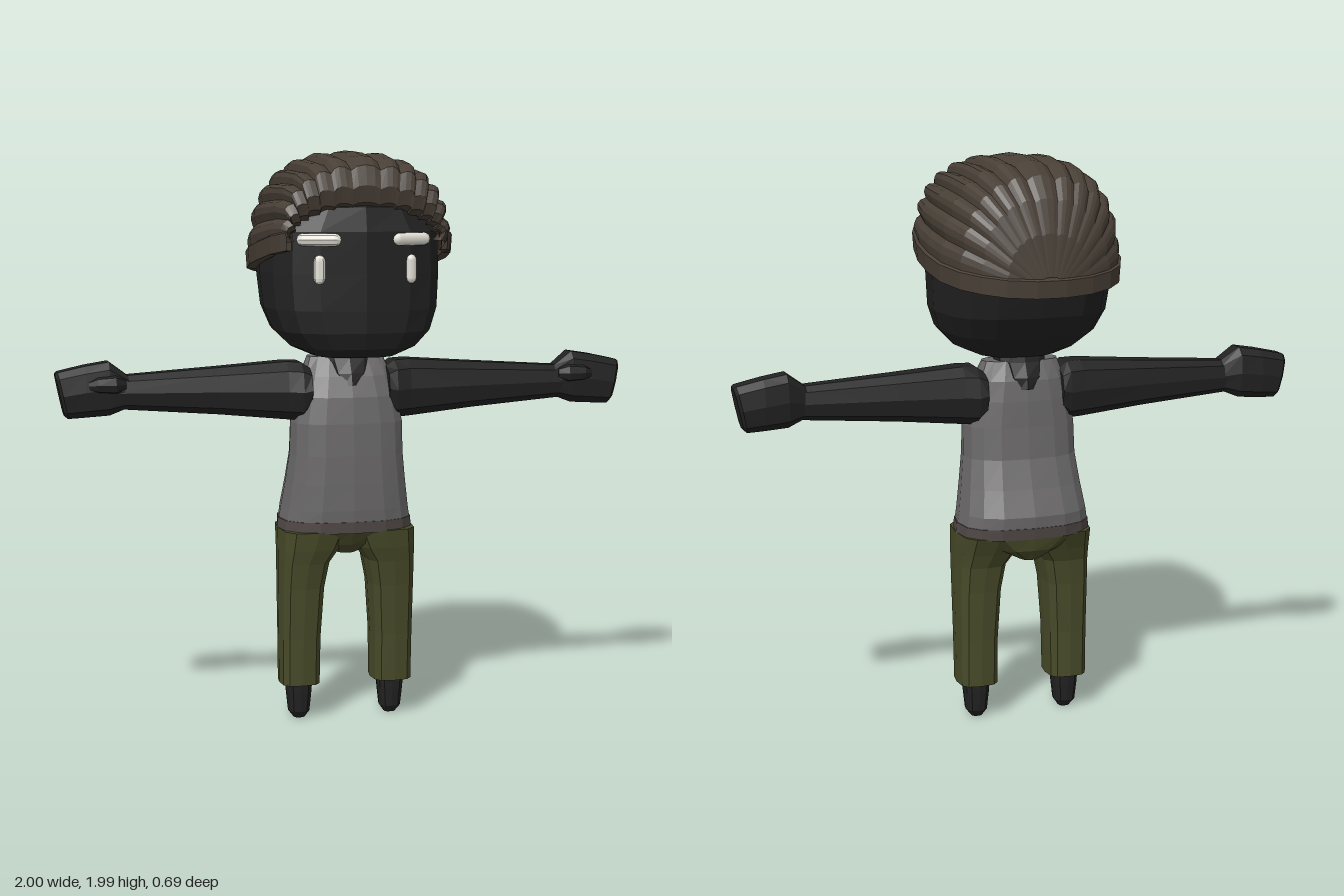
import * as THREE from 'three';

const mat = (name, color) => new THREE.MeshStandardMaterial({ name, color, side: THREE.DoubleSide });

// Faceted surface through rows of points; each row may be a closed ring
function grid(rows, closed) {
  const n = rows[0].length, pos = [];
  for (let i = 0; i < rows.length - 1; i++) {
    for (let j = 0; j < (closed ? n : n - 1); j++) {
      const k = (j + 1) % n;
      const [a, b, c, d] = [rows[i][j], rows[i + 1][j], rows[i + 1][k], rows[i][k]];
      pos.push(...a, ...b, ...d, ...b, ...c, ...d);
    }
  }
  const g = new THREE.BufferGeometry();
  g.setAttribute('position', new THREE.Float32BufferAttribute(pos, 3));
  g.computeVertexNormals();
  return g;
}

const spow = (v, e) => Math.sign(v) * Math.pow(Math.abs(v), e);

// Capped loft. Sections are [t, aMin, aMax, bMin, bMax]:
// along y, a is x and b is z; along x, a is z and b is y
function loft(sections, { n = 12, e = 0.75, axis = 'y' } = {}) {
  const put = (a, t, b) => (axis === 'y' ? [a, t, b] : [t, b, a]);
  const ring = ([t, a0, a1, b0, b1], size) => Array.from({ length: n }, (_, j) => {
    const q = (j / n) * Math.PI * 2;
    return put((a0 + a1) / 2 + size * (a1 - a0) / 2 * spow(Math.cos(q), e), t,
      (b0 + b1) / 2 + size * (b1 - b0) / 2 * spow(Math.sin(q), e));
  });
  const rows = sections.map((s) => ring(s, 1));
  return grid([ring(sections[0], 0), ...rows, ring(sections.at(-1), 0)], true);
}

// Copy of a geometry reflected in x, with its corner order restored
function mirror(geo) {
  const g = geo.clone(), p = g.attributes.position;
  for (let i = 0; i < p.count; i += 3) {
    const v = [0, 2, 1].map((k) => new THREE.Vector3().fromBufferAttribute(geo.attributes.position, i + k));
    v.forEach((w, k) => p.setXYZ(i + k, -w.x, w.y, w.z));
  }
  g.computeVertexNormals();
  return g;
}

export function createModel() {
  const model = new THREE.Group();
  model.name = 'figure';
  const skin = mat('darkSkin', 0x222222);
  const shirt = mat('greyShirt', 0x6a6868);
  const belt = mat('beltBrown', 0x514947);
  const olive = mat('oliveTrousers', 0x484b29);
  const hairBrown = mat('hairBrown', 0x483f36);
  const white = mat('offWhite', 0xe4e2d8);

  const add = (name, geo, material) => {
    const m = new THREE.Mesh(geo, material);
    m.name = name;
    model.add(m);
  };
  const addPair = (name, geo, material) => {
    const flat = geo.index ? geo.toNonIndexed() : geo;
    add('left' + name, flat, material);
    add('right' + name, mirror(flat), material);
  };
  // Section symmetric in x
  const sym = ([y, rx, z0, z1]) => [y, -rx, rx, z0, z1];

  // Head with a flat face and rounded back
  add('head', loft([
    [1.30, 0.14, -0.06, 0.27], [1.33, 0.21, -0.11, 0.305], [1.385, 0.265, -0.18, 0.327],
    [1.46, 0.293, -0.235, 0.33], [1.58, 0.302, -0.275, 0.33], [1.72, 0.297, -0.28, 0.33],
    [1.80, 0.235, -0.24, 0.315], [1.88, 0.12, -0.14, 0.2],
  ].map(sym), { n: 16, e: 0.7 }), skin);

  // Neck and the bare skin at the neckline
  add('neck', loft([
    [1.19, 0.045, -0.092, 0.128], [1.23, 0.075, -0.085, 0.115],
    [1.28, 0.09, -0.06, 0.085], [1.34, 0.09, -0.045, 0.07],
  ].map(sym)), skin);

  // Tank top, belt and seat
  add('tankTop', loft([
    [0.71, 0.233, -0.172, 0.152], [0.76, 0.225, -0.175, 0.156], [0.85, 0.212, -0.14, 0.156],
    [0.95, 0.2, -0.107, 0.155], [1.06, 0.197, -0.096, 0.15], [1.15, 0.18, -0.09, 0.138],
    [1.22, 0.16, -0.08, 0.112], [1.285, 0.135, -0.05, 0.065],
  ].map(sym), { n: 16 }), shirt);
  add('belt', loft([
    [0.68, 0.238, -0.17, 0.152], [0.72, 0.235, -0.175, 0.155],
  ].map(sym), { n: 16 }), belt);
  add('trouserSeat', loft([
    [0.595, 0.04, -0.13, 0.06], [0.635, 0.13, -0.158, 0.12], [0.69, 0.237, -0.169, 0.151],
  ].map(sym), { n: 16 }), olive);

  // Trouser legs and feet
  addPair('TrouserLeg', loft([
    [0.13, 0.095, 0.236, -0.077, 0.08], [0.3, 0.093, 0.237, -0.08, 0.09],
    [0.48, 0.082, 0.239, -0.09, 0.107], [0.57, 0.065, 0.239, -0.1, 0.122],
    [0.62, 0.03, 0.239, -0.12, 0.135], [0.685, 0.0, 0.238, -0.15, 0.147],
  ], { e: 0.6 }), olive);
  addPair('Foot', loft([
    [0, 0.145, 0.185, -0.022, 0.022], [0.025, 0.128, 0.204, -0.04, 0.04],
    [0.09, 0.121, 0.211, -0.047, 0.047], [0.14, 0.117, 0.215, -0.05, 0.05],
  ]), skin);

  // Arms held straight out
  addPair('Arm', loft([
    [0.135, -0.082, 0.122, 1.1, 1.25], [0.165, -0.083, 0.122, 1.065, 1.272],
    [0.215, -0.077, 0.11, 1.068, 1.275], [0.45, -0.058, 0.09, 1.092, 1.258],
    [0.8, -0.035, 0.068, 1.12, 1.235],
  ], { axis: 'x', n: 10 }), skin);

  // Mitten hands with a slanted end
  const hand = loft([
    [0.755, -0.033, 0.068, 1.125, 1.235], [0.82, -0.058, 0.072, 1.098, 1.285],
    [0.9, -0.062, 0.07, 1.093, 1.272], [0.975, -0.058, 0.066, 1.09, 1.252],
    [0.985, -0.045, 0.055, 1.1, 1.245],
  ], { axis: 'x', n: 10, e: 0.65 });
  const hp = hand.attributes.position;
  for (let i = 0; i < hp.count; i++) {
    if (hp.getX(i) > 0.93) hp.setX(i, hp.getX(i) + (hp.getY(i) - 1.17) * 0.2);
  }
  hand.computeVertexNormals();
  addPair('Hand', hand, skin);
  addPair('Thumb', loft([
    [0.765, 0.04, 0.07, 1.19, 1.225], [0.8, 0.03, 0.09, 1.175, 1.24],
    [0.86, 0.03, 0.088, 1.18, 1.235], [0.89, 0.04, 0.07, 1.19, 1.22],
  ], { axis: 'x', n: 8 }), skin);

  // Eye marks: a slanted bar over an upright bar
  const bar = (length, r) => new THREE.CapsuleGeometry(r, length - 2 * r, 3, 8);
  addPair('EyeBar', bar(0.15, 0.021).rotateZ(Math.PI / 2).scale(1, 1, 0.8)
    .rotateY(0.42).translate(0.157, 1.695, 0.311), white);
  addPair('EyeDrop', bar(0.096, 0.019).scale(1, 1, 0.7)
    .rotateY(0.3).translate(0.156, 1.597, 0.314), white);

  // Swept-back hair: arches [z, base y, half width, height] from front to back
  const arches = [
    [0.28, 1.69, 0.25, 0.1], [0.322, 1.69, 0.257, 0.125], [0.334, 1.69, 0.267, 0.18],
    [0.315, 1.685, 0.283, 0.25], [0.25, 1.675, 0.305, 0.29], [0.12, 1.65, 0.325, 0.33],
    [0, 1.63, 0.328, 0.352], [-0.12, 1.61, 0.315, 0.36], [-0.22, 1.595, 0.275, 0.335],
    [-0.28, 1.585, 0.22, 0.275], [-0.315, 1.575, 0.145, 0.175], [-0.335, 1.57, 0.05, 0.04],
  ];
  const strands = 13, bulge = [0, 0.75, 1, 0.75];
  const hairRows = arches.map(([z, base, rx, ry], i) => {
    const groove = 0.075 - 0.003 * i;
    return Array.from({ length: strands * 4 + 1 }, (_, j) => {
      const u = (j / (strands * 4)) * Math.PI;
      const r = 1.01 - groove * (1 - bulge[j % 4]);
      return [rx * r * spow(Math.cos(u), 0.8), base + ry * r * Math.pow(Math.abs(Math.sin(u)), 0.8), z];
    });
  });
  add('hair', grid(hairRows, false), hairBrown);

  // Band of hair round the lower edge
  const side = arches.slice(2).map(([z, y, x]) => [x, y, z]);
  const path = [...side, [0, 1.57, -0.335], ...side.map(([x, y, z]) => [-x, y, z]).reverse()];
  const profile = [[-0.03, -0.03], [0.004, -0.028], [0.008, 0.03], [-0.025, 0.05]];
  add('hairBand', grid(path.map(([x, y, z]) => {
    const len = Math.hypot(x, z);
    return profile.map(([out, up]) => [x * (1 + out / len), y + up, z * (1 + out / len)]);
  }), true), hairBrown);

  return model;
}
